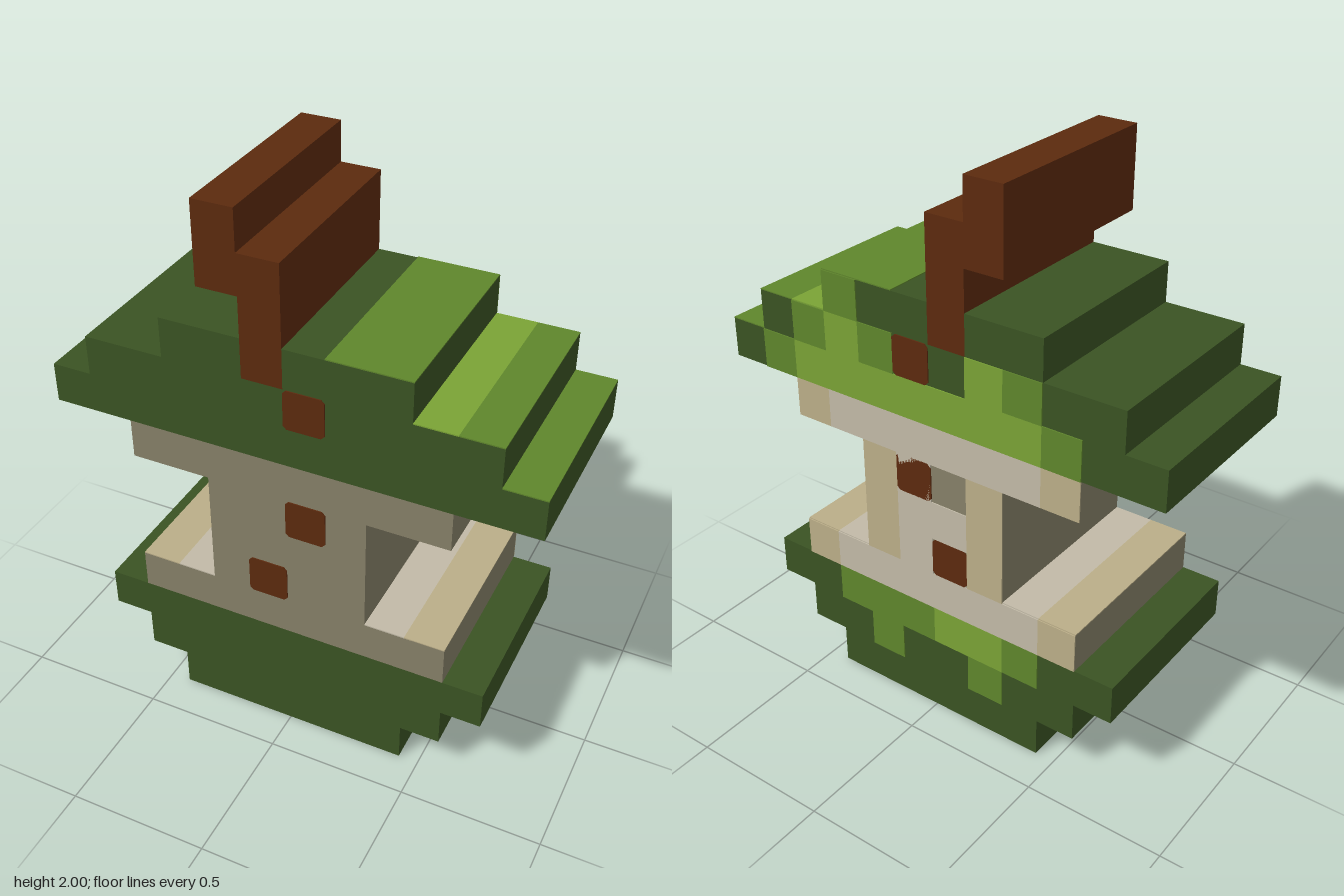
import * as THREE from 'three';

const U = 1 / 7;      // one block
const HALF = 0.355;   // half depth
const SKIN = 0.004;   // painted plate thickness

function material(name, color) {
  const m = new THREE.MeshStandardMaterial({ color });
  m.name = name;
  return m;
}

export function createModel() {
  const model = new THREE.Group();
  model.name = 'blockTower';
  const darkGreen = material('darkGreen', 0x3a5323);
  const midGreen = material('midGreen', 0x5f862c);
  const lightGreen = material('lightGreen', 0x7aa335);
  const stone = material('stone', 0x868068);
  const paleStone = material('paleStone', 0xc2baa7);
  const sand = material('sand', 0xbbae88);
  const brown = material('brown', 0x5c2a0e);

  function box(name, mat, x0, x1, y0, y1, z0, z1) {
    const mesh = new THREE.Mesh(new THREE.BoxGeometry(x1 - x0, y1 - y0, z1 - z0), mat);
    mesh.position.set((x0 + x1) / 2, (y0 + y1) / 2, (z0 + z1) / 2);
    mesh.name = name;
    model.add(mesh);
  }
  // Full-depth block in block units
  const block = (name, mat, a, b, r0, r1) =>
    box(name, mat, a * U, b * U, r0 * U, r1 * U, -HALF, HALF);

  // Stepped base, tower with ledges, stepped roof
  [
    ['base', darkGreen, -3, 3, 0, 1], ['base', darkGreen, -4, 4, 1, 2], ['base', darkGreen, -5, 5, 2, 3],
    ['lowerLedge', stone, -4, 4, 3, 4], ['tower', stone, -2, 2, 4, 7], ['upperLedge', stone, -4, 4, 7, 8],
    ['roof', darkGreen, -6, 6, 8, 9], ['roof', darkGreen, -5, 5, 9, 10],
    ['roofTop', darkGreen, -3, -1, 10, 11], ['roofTop', darkGreen, 0, 3, 10, 11],
    ['chimney', brown, -1, 0, 10, 13], ['chimneyTip', brown, -2, -1, 12, 14],
  ].forEach((p) => block(...p));

  // Windows on front and back, corners slightly cut
  const s = U / 2, c = 0.012;
  const windowShape = new THREE.Shape([
    [-s + c, -s], [s - c, -s], [s, -s + c], [s, s - c], [s - c, s], [-s + c, s], [-s, s - c], [-s, -s + c],
  ].map(([x, y]) => new THREE.Vector2(x, y)));
  const windowGeometry = new THREE.ExtrudeGeometry(windowShape, { depth: SKIN, bevelEnabled: false });
  for (const [x, row] of [[0, 9], [0, 6], [-1, 4]]) {
    for (const z of [HALF, -HALF - SKIN]) {
      const w = new THREE.Mesh(windowGeometry, brown);
      w.position.set((x + 0.5) * U, (row + 0.5) * U, z);
      w.name = 'window';
      model.add(w);
    }
  }

  // Painted back: columns run from x = +6 down to -6, '.' leaves the block bare
  const paint = { M: midGreen, L: lightGreen, W: paleStone, T: sand };
  const backRows = {
    10: '...M........',
    9: '..MLM..LM...',
    8: '.MLLLLLLLM..',
    7: '..TWWWWWWT..',
    6: '....TW.T....',
    5: '....TWWT....',
    4: '....TW.T....',
    3: '..TWWWWWWT..',
    2: '...MMMLLM...',
    1: '....M..M....',
  };
  for (const [row, cells] of Object.entries(backRows)) {
    for (let i = 0; i < 12;) {
      let j = i + 1;
      while (j < 12 && cells[j] === cells[i]) j++;
      const mat = paint[cells[i]];
      const y = Number(row) * U;
      if (mat) box('backPaint', mat, (6 - j) * U, (6 - i) * U, y, y + U, -HALF - SKIN, -HALF);
      i = j;
    }
  }
  // The bare tower cells beside the windows need only the window itself

  // Painted top strips: x range, height
  [
    [midGreen, 1, 3, 11], [lightGreen, 3, 4, 10], [midGreen, 4, 5, 10], [midGreen, 5, 6, 9],
    [paleStone, 2, 3, 4], [sand, 3, 4, 4], [paleStone, -3, -2, 4], [sand, -4, -3, 4],
  ].forEach(([mat, a, b, r]) =>
    box('topPaint', mat, a * U, b * U, r * U, r * U + SKIN, -HALF, HALF));

  return model;
}
